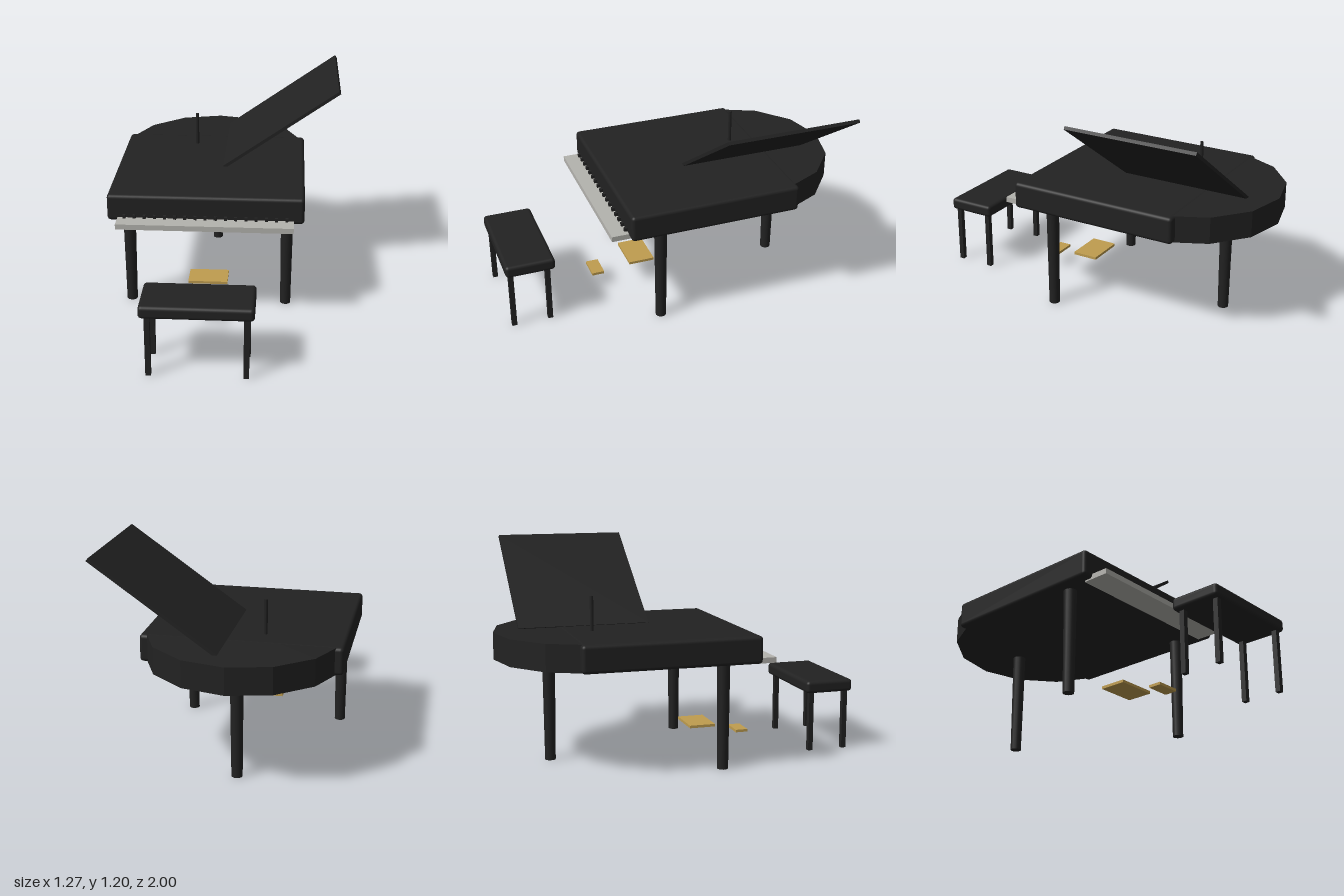
import * as THREE from 'three';
import { RoundedBoxGeometry } from 'three/addons/geometries/RoundedBoxGeometry.js';

const paint = (name, color) => {
  const m = new THREE.MeshStandardMaterial({ color });
  m.name = name;
  return m;
};

export function createModel() {
  const black = paint('black lacquer', 0x222222);
  const ivory = paint('ivory', 0xb4b3ae);
  const brass = paint('brass', 0xbf9d4f);
  const flatBlack = paint('black facets', 0x222222);
  flatBlack.flatShading = true;

  const model = new THREE.Group();
  model.name = 'grandPiano';
  const add = (name, geometry, material, x, y, z) => {
    const mesh = new THREE.Mesh(geometry, material);
    mesh.name = name;
    mesh.position.set(x, y, z);
    model.add(mesh);
    return mesh;
  };
  const box = (w, h, d) => new THREE.BoxGeometry(w, h, d);
  const cx = -0.098; // centre line of the instrument

  // Case: rounded front block and a faceted drum for the tail
  add('caseBody', new RoundedBoxGeometry(1.08, 0.15, 0.98, 3, 0.02), black, cx, 0.656, -0.14);
  const tail = add('caseTail', new THREE.CylinderGeometry(1, 1, 0.148, 14), flatBlack, cx, 0.656, -0.45);
  tail.scale.set(0.535, 1, 0.55);

  // Open lid and its prop
  const lid = add('lid', box(0.8, 0.018, 0.74), black, 0.302, 0.957, -0.48);
  lid.rotation.z = 0.615;
  add('lidProp', new THREE.CylinderGeometry(0.01, 0.01, 0.2, 8), black, -0.208, 0.822, -0.48);

  // Keyboard
  add('keyboard', box(0.965, 0.03, 0.15), ivory, cx, 0.588, 0.372);
  for (let i = 0; i < 17; i++) {
    add('blackKey', box(0.016, 0.02, 0.08), black, cx + (i - 8) * 0.0555, 0.612, 0.327);
  }

  // Tapered legs
  for (const [x, z] of [[cx - 0.446, 0.158], [cx + 0.446, 0.158], [cx, -0.7]]) {
    add('leg', new THREE.CylinderGeometry(0.036, 0.03, 0.6, 14), black, x, 0.3, z);
  }

  // Pedal plates
  add('pedalPlate', box(0.224, 0.015, 0.15), brass, -0.096, 0.15, 0.158);
  add('pedal', box(0.134, 0.015, 0.072), brass, -0.097, 0.092, 0.413);

  // Bench
  add('benchSeat', new RoundedBoxGeometry(0.59, 0.07, 0.28, 3, 0.02), black, -0.097, 0.374, 0.858);
  for (const sx of [-1, 1]) {
    for (const sz of [-1, 1]) {
      add('benchLeg', box(0.028, 0.345, 0.028), black, -0.096 + sx * 0.253, 0.1725, 0.863 + sz * 0.104);
    }
  }
  return model;
}
